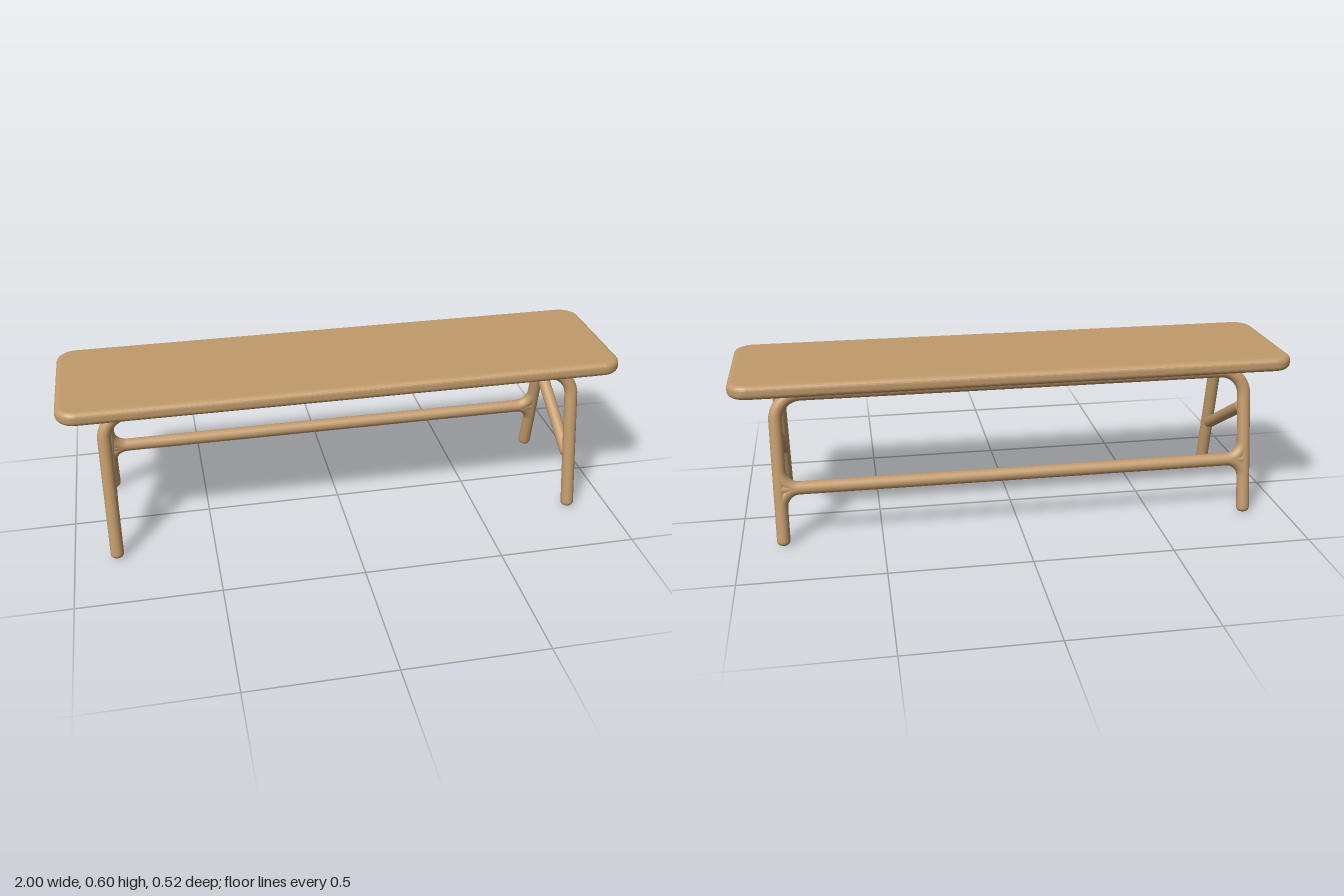
import * as THREE from 'three';

const R = 0.0235;        // tube radius
const LEG_X = 0.85;      // leg centre line
const FOOT_Z = 0.241;    // foot distance from the middle
const TILT = 0.187;      // inward lean of each frame
const RAIL_Y = 0.5405;   // rail height, measured along the leaning frame
const BEND = 0.09;       // bend radius of the frame corners

const v = (x, y, z = 0) => new THREE.Vector3(x, y, z);

function mesh(name, geometry, material) {
  const m = new THREE.Mesh(geometry, material);
  m.name = name;
  return m;
}

// Seat board with rounded corners and softened edges
function seatGeometry() {
  const bevel = 0.02, x = 1 - bevel, z = 0.253 - bevel, r = 0.05;
  const s = new THREE.Shape();
  s.absarc(x - r, z - r, r, 0, Math.PI / 2);
  s.absarc(r - x, z - r, r, Math.PI / 2, Math.PI);
  s.absarc(r - x, r - z, r, Math.PI, Math.PI * 1.5);
  s.absarc(x - r, r - z, r, Math.PI * 1.5, Math.PI * 2);
  s.closePath();
  const g = new THREE.ExtrudeGeometry(s, {
    depth: 0.05 - 2 * bevel, bevelEnabled: true, bevelSize: bevel,
    bevelThickness: bevel, bevelSegments: 6, curveSegments: 10,
  });
  g.rotateX(-Math.PI / 2);
  g.translate(0, 0.553 + bevel, 0);
  return g;
}

// Leg, bend, rail, bend, leg as one path
function framePath() {
  const k = BEND * 0.4477, y0 = 0.02;
  const path = new THREE.CurvePath();
  path.add(new THREE.LineCurve3(v(-LEG_X, y0), v(-LEG_X, RAIL_Y - BEND)));
  path.add(new THREE.CubicBezierCurve3(v(-LEG_X, RAIL_Y - BEND), v(-LEG_X, RAIL_Y - k),
    v(-LEG_X + k, RAIL_Y), v(-LEG_X + BEND, RAIL_Y)));
  path.add(new THREE.LineCurve3(v(-LEG_X + BEND, RAIL_Y), v(LEG_X - BEND, RAIL_Y)));
  path.add(new THREE.CubicBezierCurve3(v(LEG_X - BEND, RAIL_Y), v(LEG_X - k, RAIL_Y),
    v(LEG_X, RAIL_Y - k), v(LEG_X, RAIL_Y - BEND)));
  path.add(new THREE.LineCurve3(v(LEG_X, RAIL_Y - BEND), v(LEG_X, y0)));
  return path;
}

// Rounded foot end with a small flat underside
function footGeometry() {
  const flat = 0.008, round = R - flat, pts = [new THREE.Vector2(0, 0.0035)];
  for (let i = 0; i <= 6; i++) {
    const a = (i / 6) * Math.PI / 2;
    pts.push(new THREE.Vector2(flat + round * Math.sin(a), 0.0035 + 0.0165 * (1 - Math.cos(a))));
  }
  return new THREE.LatheGeometry(pts, 24);
}

function makeFrame(name, side, wood) {
  const frame = new THREE.Group();
  frame.name = name;
  frame.add(mesh('legsAndRail', new THREE.TubeGeometry(framePath(), 220, R, 20, false), wood));
  for (const sx of [-1, 1]) {
    const foot = mesh('foot', footGeometry(), wood);
    foot.position.x = sx * LEG_X;
    frame.add(foot);
  }
  frame.position.z = side * FOOT_Z;
  frame.rotation.x = -side * TILT;
  return frame;
}

// Long stretcher that flares into the legs above and below
function addStretcher(frame, wood) {
  const y = 0.2075, f = 0.068;
  const bar = new THREE.CylinderGeometry(R, R, 2 * LEG_X, 20, 1, true);
  bar.rotateZ(Math.PI / 2);
  bar.translate(0, y, 0);
  frame.add(mesh('stretcher', bar, wood));
  const corners = [[1, -1], [-1, -1], [-1, 1], [1, 1]];
  corners.forEach(([sx, sy], i) => {
    const flare = mesh('stretcherFlare', new THREE.TorusGeometry(f, R, 16, 12, Math.PI / 2), wood);
    flare.rotation.z = i * Math.PI / 2;
    flare.position.set(sx * (LEG_X - f), y + sy * f, 0);
    frame.add(flare);
  });
}

// Sloping brace between the front and back leg at one end
function makeBrace(x, wood) {
  const a = v(x, 0.206, 0.172), b = v(x, 0.386, -0.135);
  const d = b.clone().sub(a);
  const brace = mesh('endBrace', new THREE.CapsuleGeometry(0.0225, d.length(), 8, 20), wood);
  brace.position.copy(a).add(b).multiplyScalar(0.5);
  brace.quaternion.setFromUnitVectors(v(0, 1), d.normalize());
  return brace;
}

export function createModel() {
  const wood = new THREE.MeshStandardMaterial({ color: 0xc19a6b });
  wood.name = 'wood';

  const bench = new THREE.Group();
  bench.name = 'bench';
  bench.add(mesh('seat', seatGeometry(), wood));

  const front = makeFrame('frontFrame', 1, wood);
  const back = makeFrame('backFrame', -1, wood);
  addStretcher(back, wood);
  bench.add(front, back);

  for (const sx of [-1, 1]) bench.add(makeBrace(sx * LEG_X, wood));
  return bench;
}
